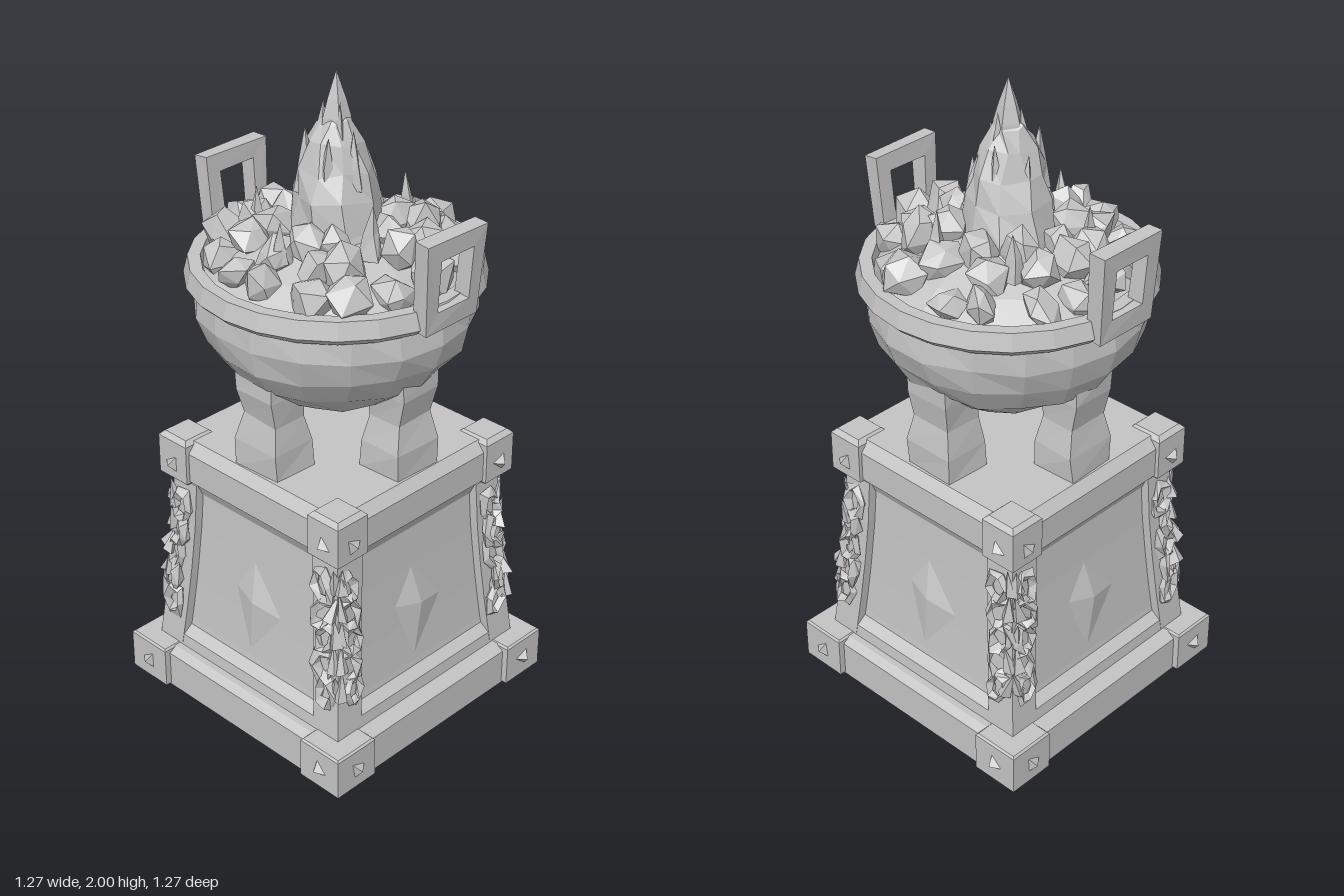
import * as THREE from 'three';
import { mergeVertices } from 'three/addons/utils/BufferGeometryUtils.js';
import { ConvexGeometry } from 'three/addons/geometries/ConvexGeometry.js';

const stone = new THREE.MeshStandardMaterial({ color: 0xc4c4c4 });
stone.name = 'grey stone';

let seed = 7;
function rnd(a = -1, b = 1) {
  seed = (seed * 16807) % 2147483647;
  return a + (b - a) * (seed / 2147483647);
}

// Facet a geometry, optionally shifting its shared vertices for a rough-hewn look
function facet(geo, rough = 0) {
  geo.deleteAttribute('uv');
  geo.deleteAttribute('normal');
  let g = mergeVertices(geo, 1e-4);
  const p = g.attributes.position;
  if (rough) {
    for (let i = 0; i < p.count; i++) {
      p.setXYZ(i, p.getX(i) + rnd() * rough, p.getY(i) + rnd() * rough, p.getZ(i) + rnd() * rough);
    }
  }
  g = g.toNonIndexed();
  g.computeVertexNormals();
  return g;
}

function add(parent, name, geo, x = 0, y = 0, z = 0, rough = 0) {
  const mesh = new THREE.Mesh(facet(geo, rough), stone);
  mesh.name = name;
  mesh.position.set(x, y, z);
  parent.add(mesh);
  return mesh;
}

const lathe = (pts, n) => new THREE.LatheGeometry(pts.map(([r, y]) => new THREE.Vector2(r, y)), n);
// Square solid from [half width, height] pairs
const square = (pts) => lathe(pts.map(([h, y]) => [h * Math.SQRT2, y]), 4).rotateY(Math.PI / 4);
// Square block with a bevelled top and bottom
const block = (h, y0, y1, b) =>
  square([[0, y0], [h - b, y0], [h, y0 + b], [h, y1 - b], [h - b, y1], [0, y1]]);

// Outer half width of the corner posts at height y
const postHalf = (y) => 0.345 + 0.045 * Math.pow((0.72 - y) / 0.58, 1.4);

function cornerPost() {
  const g = new THREE.BoxGeometry(0.1, 0.58, 0.1, 1, 4, 1);
  g.translate(-0.05, 0.43, -0.05);
  const p = g.attributes.position;
  for (let i = 0; i < p.count; i++) {
    const h = postHalf(p.getY(i));
    p.setX(i, p.getX(i) + h);
    p.setZ(i, p.getZ(i) + h);
  }
  return g;
}

// Low faceted kite standing off the panel
function kite() {
  const v = [[-0.02, 0.17, 0], [-0.1, 0.04, 0], [-0.02, -0.17, 0], [0.11, 0, 0], [0, 0.02, 0.025]];
  return new ConvexGeometry(v.map((a) => new THREE.Vector3(...a)));
}

// Jagged links and splinters running up one side of a corner post
function chain(parent, side) {
  for (let i = 0; i < 5; i++) {
    const y = 0.29 + i * 0.085;
    const h = postHalf(y);
    const link = new THREE.TorusGeometry(0.036, 0.014, 4, 6).scale(0.85, 1.35, 1.1);
    const m = add(parent, 'chainLink', link, side * (h - 0.045 + rnd() * 0.012), y, h + 0.006, 0.007);
    m.rotation.set(-0.08, side * (i % 2) * 0.5, rnd() * 0.4);
    const chip = new THREE.ConeGeometry(0.022, 0.085, 4);
    const c = add(parent, 'chainSplinter', chip, side * (h - 0.01), y + 0.035, h + 0.004, 0.006);
    c.rotation.set(rnd() * 0.3, rnd() * 2, rnd() * 0.4);
  }
}

// Everything that repeats on each of the four sides
function buildSide(q) {
  const s = new THREE.Group();
  s.name = 'pedestalSide';
  s.rotation.y = q * Math.PI / 2;

  add(s, 'baseCorner', block(0.0775, 0, 0.14, 0.006), 0.3775, 0, 0.3775);
  add(s, 'capCorner', block(0.06, 0.72, 0.875, 0.014), 0.314, 0, 0.314);
  add(s, 'cornerPost', cornerPost());

  // Studs on both ends of the base and cap
  for (const side of [-1, 1]) {
    for (const [x, y, z] of [[0.375, 0.07, 0.465], [0.314, 0.785, 0.384]]) {
      const stud = add(s, 'stud', new THREE.ConeGeometry(0.032, 0.025, 3).rotateX(Math.PI / 2), side * x, y, z);
      stud.rotation.z = side * 0.35 + q;
    }
    chain(s, side);
  }

  const k = add(s, 'panelKite', kite(), 0, 0.4, 0.334);
  k.rotation.x = -0.09;

  // Leg: tapered waist with a wider foot
  const leg = new THREE.BoxGeometry(0.15, 0.34, 0.13, 1, 4, 1);
  const p = leg.attributes.position;
  for (let i = 0; i < p.count; i++) {
    const t = (p.getY(i) + 0.17) / 0.34;
    const w = 1 + (t < 0.3 ? 0.12 : t < 0.6 ? -0.1 : 0);
    p.setX(i, p.getX(i) * w);
    p.setZ(i, p.getZ(i) * w + (t > 0.7 ? 0.012 : 0));
  }
  add(s, 'leg', leg, 0, 1.035, 0.255, 0.005);
  return s;
}

// Square handle hung on the rim, leaning outwards
function buildHandle(dir) {
  const h = new THREE.Group();
  h.name = 'handle';
  const shape = new THREE.Shape();
  shape.moveTo(-0.105, 0);
  shape.lineTo(0.105, 0);
  shape.lineTo(0.118, 0.27);
  shape.lineTo(-0.118, 0.27);
  const hole = new THREE.Path();
  hole.moveTo(-0.06, 0.06);
  hole.lineTo(-0.065, 0.215);
  hole.lineTo(0.065, 0.215);
  hole.lineTo(0.06, 0.06);
  shape.holes.push(hole);
  const frame = new THREE.ExtrudeGeometry(shape, { depth: 0.05, bevelEnabled: false });
  add(h, 'handleFrame', frame, 0, 1.39, 0.39, 0.003).rotation.x = 0.06;
  h.rotation.y = dir;
  return h;
}

function buildFire() {
  const fire = new THREE.Group();
  fire.name = 'fire';
  add(fire, 'coalBed', lathe([[0.385, 1.42], [0.3, 1.48], [0.16, 1.54], [0, 1.56]], 14));

  // Rings of rough coals: ring radius, height, count, coal size
  for (const [r, y, n, size] of [[0.325, 1.47, 16, 0.064], [0.24, 1.525, 12, 0.068], [0.17, 1.55, 8, 0.06]]) {
    for (let i = 0; i < n; i++) {
      const a = (i + rnd() * 0.25) / n * Math.PI * 2;
      const coal = new THREE.IcosahedronGeometry(size * rnd(0.85, 1.15), 0).scale(rnd(0.75, 1.1), rnd(0.8, 1.2), 1);
      const m = add(fire, 'coal', coal, Math.sin(a) * r, y + rnd() * 0.015, Math.cos(a) * r, 0.013);
      m.rotation.set(rnd() * 0.5, a, rnd() * 0.5);
    }
  }

  // Main flame with a pointed tip
  const body = [[0.165, 1.48], [0.145, 1.56], [0.125, 1.65], [0.1, 1.73], [0.075, 1.8], [0.045, 1.86], [0, 1.9]];
  add(fire, 'flameBody', lathe(body, 9), 0, 0, 0, 0.011);
  add(fire, 'flameTip', lathe([[0.05, 1.8], [0.042, 1.87], [0.028, 1.92], [0, 2]], 5));

  // Tongues of flame: angle, distance, foot height, length, width
  const tongues = [
    [-1.5, 0.085, 1.66, 0.19, 0.035], [-0.5, 0.08, 1.66, 0.17, 0.035], [0.5, 0.075, 1.68, 0.17, 0.035],
    [1.5, 0.09, 1.62, 0.16, 0.035], [2.5, 0.08, 1.65, 0.18, 0.035], [3.6, 0.085, 1.64, 0.16, 0.035],
    [0.1, 0.04, 1.75, 0.17, 0.03], [2.2, 0.04, 1.75, 0.16, 0.03], [4.2, 0.04, 1.75, 0.17, 0.03],
    [0.3, 0.2, 1.52, 0.16, 0.04], [1.9, 0.23, 1.51, 0.15, 0.035], [3.0, 0.24, 1.51, 0.14, 0.035],
    [4.3, 0.23, 1.5, 0.14, 0.035], [5.4, 0.24, 1.51, 0.13, 0.035],
  ];
  for (const [a, r, y, len, w] of tongues) {
    const cone = new THREE.ConeGeometry(w, len, 4, 2).translate(0, len / 2, 0);
    add(fire, 'flameTongue', cone, Math.sin(a) * r, y, Math.cos(a) * r, 0.005).rotation.y = a;
  }
  return fire;
}

export function createModel() {
  const model = new THREE.Group();
  model.name = 'brazier';
  const turned = new THREE.Group();
  turned.name = 'turnedBody';
  turned.rotation.y = 0.605;
  model.add(turned);

  // Pedestal core: base slab, flared panels, skirt and cap
  add(turned, 'baseSlab', square([[0, 0], [0.435, 0], [0.435, 0.12], [0.41, 0.137], [0, 0.137]]));
  add(turned, 'panels', square([[0.365, 0.13], [0.352, 0.22], [0.339, 0.36], [0.325, 0.55], [0.316, 0.73]]));
  add(turned, 'skirt', square([[0.39, 0.13], [0.385, 0.175], [0.35, 0.205]]));
  add(turned, 'collar', square([[0.32, 0.68], [0.34, 0.72]]));
  add(turned, 'cap', square([[0, 0.725], [0.345, 0.725], [0.362, 0.74], [0.362, 0.835], [0.335, 0.868], [0, 0.868]]));
  for (let q = 0; q < 4; q++) turned.add(buildSide(q));

  // Bowl and rim
  add(turned, 'bowl', lathe([[0, 1.025], [0.13, 1.035], [0.24, 1.08], [0.33, 1.15], [0.385, 1.23],
    [0.41, 1.31], [0.405, 1.4]], 18), 0, 0, 0, 0.007);
  add(turned, 'rim', lathe([[0.395, 1.375], [0.415, 1.38], [0.435, 1.4], [0.422, 1.452], [0.385, 1.452],
    [0.375, 1.41]], 24));
  for (const dir of [0, Math.PI]) turned.add(buildHandle(dir));

  model.add(buildFire());
  return model;
}
